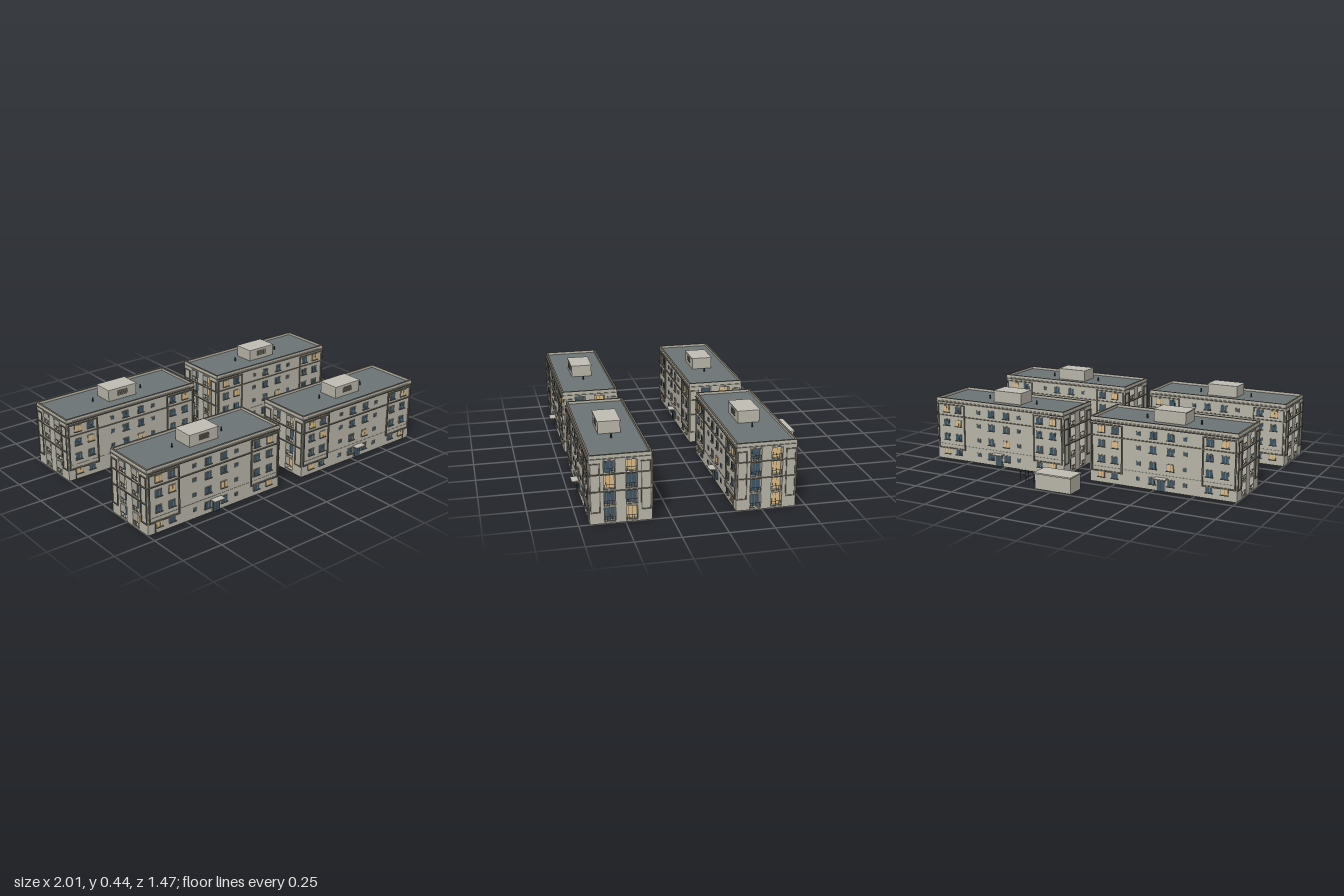
import * as THREE from 'three';

const mat = (color) => new THREE.MeshStandardMaterial({ color });
const M = {
  wall: mat(0xb8b5a8), trim: mat(0x706c5f), roof: mat(0x6d7476), pale: mat(0xc0beb4),
  glass: mat(0x3e5564), lit: mat(0xdcbb84), frame: mat(0x8d8a7e), metal: mat(0x3c3f3f),
};

// Box centred on x, z with its bottom at y
function box(parent, name, m, w, h, d, x, y, z) {
  const mesh = new THREE.Mesh(new THREE.BoxGeometry(w, h, d), m);
  mesh.name = name;
  mesh.position.set(x, y + h / 2, z);
  parent.add(mesh);
  return mesh;
}

function group(parent, name) {
  const g = new THREE.Group();
  g.name = name;
  parent.add(g);
  return g;
}

// Rectangular outline of raised strips in the xy plane
function outline(parent, x0, x1, y0, y1, z, t = 0.007, d = 0.008) {
  const w = x1 - x0, h = y1 - y0, cx = (x0 + x1) / 2;
  for (const y of [y0, y1 - t]) box(parent, 'panelTrim', M.trim, w, t, d, cx, y, z);
  for (const x of [x0 + t / 2, x1 - t / 2]) box(parent, 'panelTrim', M.trim, t, h, d, x, y0, z);
}

const W = 0.91, D = 0.336, H = 0.372, TOP = 0.388, RECESS = 0.035;
const FLOORS = [0.32, 0.235, 0.144, 0.053];
const COLUMNS = [-0.382, -0.296, -0.146, -0.053, 0.055, 0.144, 0.29, 0.382];
const LIT = ['0,0', '0,7', '1,1', '2,4', '3,0', '3,7'];

function windowUnit(parent, x, y, w, h, lit) {
  const g = group(parent, 'window');
  g.position.set(x, y, 0);
  box(g, 'windowFrame', M.frame, w + 0.006, h + 0.006, 0.005, 0, -h / 2 - 0.003, 0.001);
  box(g, 'pane', lit ? M.lit : M.glass, w, h, 0.006, 0, -h / 2, 0.0015);
  if (w > 0.03) {
    box(g, 'mullion', M.frame, 0.002, h, 0.007, 0.004, -h / 2, 0.002);
    box(g, 'sill', M.trim, w + 0.01, 0.003, 0.012, 0, -h / 2 - 0.004, 0.004);
  }
}

// Long side: windows, door with canopy, raised strips; local z = 0 is the wall
function longSide(parent, name) {
  const g = group(parent, name);
  FLOORS.forEach((y, r) => COLUMNS.forEach((x, c) => {
    const small = Math.abs(Math.abs(x) - 0.145) < 0.01;
    if (r === 3 && Math.abs(x) < 0.06) x = Math.sign(x) * 0.058;
    windowUnit(g, x, y, small ? 0.02 : 0.038, small ? 0.018 : 0.037, LIT.includes(r + ',' + c));
  }));
  for (const s of [-1, 1]) {
    const a = s * 0.247, b = s * 0.447;
    outline(g, Math.min(a, b), Math.max(a, b), 0.066, 0.352, 0.003);
  }
  box(g, 'stringCourse', M.trim, W, 0.006, 0.008, 0, 0.276, 0.002);
  box(g, 'cornice', M.trim, W, 0.006, 0.01, 0, 0.36, 0.002);
  box(g, 'floorSeam', M.frame, W, 0.002, 0.003, 0, 0.094, 0);
  box(g, 'doorFrame', M.frame, 0.054, 0.078, 0.006, 0, 0, 0.001);
  box(g, 'door', M.glass, 0.046, 0.074, 0.008, 0, 0, 0.002);
  box(g, 'doorSplit', M.metal, 0.002, 0.074, 0.01, 0, 0, 0.002);
  box(g, 'canopy', M.pale, 0.075, 0.006, 0.04, 0, 0.074, 0.02);
  return g;
}

// Short end: piers, slabs, loggia windows and railings; local z = 0 is the outer face
function shortEnd(parent, name, lit) {
  const g = group(parent, name);
  const bay = 0.062, off = 0.059, inner = off - bay / 2, outer = off + bay / 2;
  const mid = -RECESS / 2;
  box(g, 'middlePier', M.wall, inner * 2, H, RECESS, 0, 0, mid);
  box(g, 'topBand', M.wall, D, H - 0.352, RECESS, 0, 0.352, mid);
  for (const s of [-1, 1]) {
    const pw = D / 2 - outer;
    box(g, 'cornerPier', M.wall, pw, 0.352, RECESS, s * (outer + pw / 2), 0, mid);
    const a = s * (outer + 0.018), b = s * (D / 2 - 0.004);
    outline(g, Math.min(a, b), Math.max(a, b), 0.063, 0.342, 0.002, 0.006, 0.006);
    [0.274, 0.182, 0.09, 0].forEach((y, r) => {
      const x = s * off, l = lit[r][s < 0 ? 0 : 1];
      box(g, 'loggiaSlab', M.wall, bay, 0.008, RECESS + 0.002, x, y, mid + 0.001);
      box(g, 'loggiaGlass', l ? M.lit : M.glass, bay - 0.006, 0.07, 0.004, x, y + 0.008, 0.002 - RECESS);
      for (const dx of [-0.014, 0.006])
        box(g, 'loggiaMullion', M.trim, 0.002, 0.07, 0.006, x + dx, y + 0.008, 0.002 - RECESS);
      // Railing
      for (const ry of [0.012, 0.036]) box(g, 'handrail', M.trim, bay, 0.002, 0.002, x, y + ry, -0.003);
      for (let i = 0; i < 5; i++)
        box(g, 'railingBar', M.trim, 0.0015, 0.028, 0.0015, x + (i - 2) * 0.0135, y + 0.008, -0.003);
    });
    box(g, 'loggiaLintel', M.pale, bay + 0.006, 0.006, 0.006, x2(s, off), 0.354, 0.001);
  }
  for (const y of [0.276, 0.18]) box(g, 'stringCourse', M.trim, D, 0.006, 0.008, 0, y, 0.002);
  box(g, 'cornice', M.frame, D, 0.004, 0.006, 0, 0.364, 0.002);
  return g;
}
const x2 = (s, v) => s * v;

function apartmentBlock(parent, name, x, z, litEnd) {
  const b = group(parent, name);
  b.position.set(x, 0, z);
  box(b, 'body', M.wall, W - 2 * RECESS, H - 0.002, D, 0, 0, 0);
  box(b, 'roof', M.roof, W - 0.012, 0.003, D - 0.012, 0, H - 0.002, 0);
  // Parapet with dark coping
  for (const s of [-1, 1]) {
    box(b, 'parapet', M.wall, W, TOP - H, 0.008, 0, H, s * (D / 2 - 0.004));
    box(b, 'parapet', M.wall, 0.008, TOP - H, D, s * (W / 2 - 0.004), H, 0);
    box(b, 'coping', M.trim, W + 0.002, 0.003, 0.011, 0, TOP - 0.002, s * (D / 2 - 0.004));
    box(b, 'coping', M.trim, 0.011, 0.003, D + 0.002, s * (W / 2 - 0.004), TOP - 0.002, 0);
    // Roof vent pipes
    const pipe = new THREE.Mesh(new THREE.CylinderGeometry(0.005, 0.005, 0.024, 10), M.metal);
    pipe.name = 'ventPipe';
    pipe.position.set(s * 0.17, 0.384, 0);
    b.add(pipe);
  }
  // Rooftop machine room with a louvred grille
  box(b, 'machineRoom', M.wall, 0.196, 0.068, 0.126, 0, 0.372, 0);
  box(b, 'machineRoomRoof', M.pale, 0.202, 0.006, 0.132, 0, 0.439, 0);
  for (let i = 0; i < 5; i++) box(b, 'louvre', M.trim, 0.07, 0.004, 0.004, 0, 0.396 + i * 0.007, 0.064);

  longSide(b, 'frontFacade').position.z = D / 2;
  const back = longSide(b, 'backFacade');
  back.position.z = -D / 2;
  back.rotation.y = Math.PI;
  const left = shortEnd(b, 'leftEnd', litEnd);
  left.position.x = W / 2;
  left.rotation.y = Math.PI / 2;
  const right = shortEnd(b, 'rightEnd', litEnd);
  right.position.x = -W / 2;
  right.rotation.y = -Math.PI / 2;
  // Short downpipe below the outer corner panel
  box(b, 'downpipe', M.trim, 0.005, 0.066, 0.006, Math.sign(x) * 0.408, 0, D / 2 + 0.002);
}

// Small kiosk behind the blocks
function kiosk(parent) {
  const k = group(parent, 'kiosk');
  k.position.set(-0.003, 0, -0.674);
  box(k, 'kioskBody', M.wall, 0.234, 0.09, 0.114, 0, 0, 0);
  box(k, 'kioskRoof', M.pale, 0.242, 0.008, 0.128, 0, 0.09, 0);
  box(k, 'kioskFascia', M.trim, 0.234, 0.014, 0.004, 0, 0.074, 0.058);
  box(k, 'kioskWindow', M.glass, 0.214, 0.044, 0.004, 0, 0.026, 0.058);
  for (const x of [-0.054, 0, 0.054]) box(k, 'kioskMullion', M.frame, 0.002, 0.044, 0.006, x, 0.026, 0.058);
}

// Row of thin drying frames beside the kiosk
function dryingRack(parent) {
  const r = group(parent, 'dryingRack');
  r.position.set(0.2, 0, -0.63);
  for (let i = 0; i < 3; i++) {
    const cx = (i - 1) * 0.055;
    for (const s of [-1, 1]) box(r, 'rackPost', M.metal, 0.003, 0.065, 0.003, cx + s * 0.018, 0, 0);
    box(r, 'rackBar', M.metal, 0.048, 0.003, 0.003, cx, 0.062, 0);
  }
  box(r, 'rackRail', M.metal, 0.16, 0.002, 0.002, 0, 0.045, 0);
}

export function createModel() {
  const model = new THREE.Group();
  model.name = 'housingEstate';
  const ends = { front: [[0, 1], [1, 0], [0, 0], [0, 1]], back: [[0, 1], [0, 1], [0, 1], [0, 1]] };
  for (const x of [-0.545, 0.545]) {
    const side = x > 0 ? 'Left' : 'Right';
    apartmentBlock(model, 'frontBlock' + side, x, 0.523, ends.front);
    apartmentBlock(model, 'backBlock' + side, x, -0.273, ends.back);
  }
  kiosk(model);
  dryingRack(model);
  return model;
}
